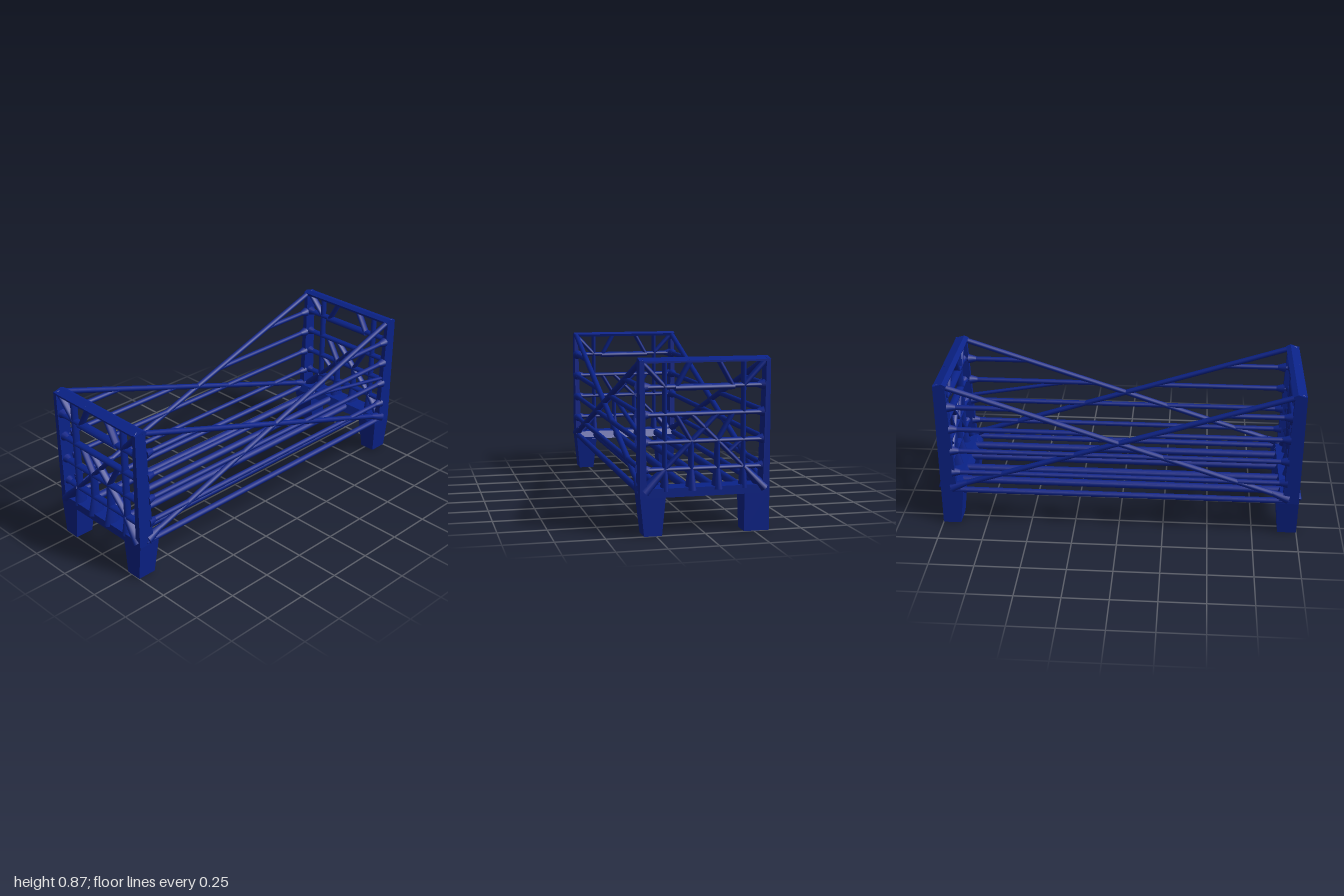
import * as THREE from 'three';

const paint = new THREE.MeshStandardMaterial({ color: 0x0a2288 });
const UP = new THREE.Vector3(0, 1, 0);

// Round bar between two points; flat > 1 deepens it along x
function bar(group, name, a, b, r = 0.016, rEnd = r, flat = 1) {
  const p = new THREE.Vector3(...a), q = new THREE.Vector3(...b);
  const d = q.clone().sub(p);
  const mesh = new THREE.Mesh(new THREE.CylinderGeometry(rEnd, r, d.length(), 10), paint);
  mesh.quaternion.setFromUnitVectors(UP, d.normalize());
  mesh.position.copy(p).add(q).multiplyScalar(0.5);
  mesh.scale.x = flat;
  mesh.name = name;
  group.add(mesh);
}

// Solid whose bottom and top rectangles [x0, x1, z0, z1] differ
function frustum(group, name, y0, y1, low, high) {
  const geo = new THREE.BoxGeometry(1, 1, 1);
  const p = geo.attributes.position;
  for (let i = 0; i < p.count; i++) {
    const top = p.getY(i) > 0, s = top ? high : low;
    p.setXYZ(i, s[p.getX(i) > 0 ? 1 : 0], top ? y1 : y0, s[p.getZ(i) > 0 ? 3 : 2]);
  }
  geo.computeVertexNormals();
  const mesh = new THREE.Mesh(geo, paint);
  mesh.name = name;
  group.add(mesh);
}

const order = (s, a, b) => (s > 0 ? [a, b] : [-b, -a]);
const LEVELS = [0.325, 0.46, 0.595, 0.73];

// Corner leg and post
function corner(group, sx, sz) {
  const rect = (x0, x1, z0, z1) => [...order(sx, x0, x1), ...order(sz, z0, z1)];
  const straight = sx > 0 && sz < 0;
  frustum(group, 'leg', 0, 0.2,
    straight ? rect(0.9, 1, 0.2, 0.33) : rect(0.895, 1, 0.22, 0.31),
    rect(0.875, 1, 0.2, 0.33));
  frustum(group, 'legCap', 0.2, 0.235, rect(0.875, 1, 0.2, 0.33), rect(0.9, 1, 0.25, 0.33));
  frustum(group, 'post', 0.2, 0.86, rect(0.91, 1, 0.295, 0.33), rect(0.935, 1, 0.308, 0.33));
  // Flares where rails meet the post
  for (const y of LEVELS) {
    bar(group, 'railFlare', [sx * 0.93, y, sz * 0.315], [sx * 0.885, y, sz * 0.315], 0.028, 0.015);
    bar(group, 'endFlare', [sx * 0.968, y, sz * 0.315], [sx * 0.968, y, sz * 0.27], 0.03, 0.014, 1.1);
  }
}

// Trussed end panel
function endPanel(s) {
  const g = new THREE.Group();
  g.name = s > 0 ? 'leftEnd' : 'rightEnd';
  const X = s * 0.968;
  const strut = (name, z0, y0, z1, y1, r = 0.013, r2 = r) =>
    bar(g, name, [X, y0, z0], [X, y1, z1], r, r2, 1.8);

  // Peaked top beam
  const profile = new THREE.Shape([[1, 0.848], [1, 0.857], [0.95, 0.872], [0.925, 0.86], [0.93, 0.846]]
    .map(([x, y]) => new THREE.Vector2(s * x, y)));
  const geo = new THREE.ExtrudeGeometry(profile, { depth: 0.66, bevelEnabled: false });
  geo.translate(0, 0, -0.33);
  const top = new THREE.Mesh(geo, paint);
  top.name = 'topBeam';
  g.add(top);

  // Bottom beam and cross rails
  frustum(g, 'bottomBeam', 0.19, 0.235, [...order(s, 0.875, 1), -0.3, 0.3], [...order(s, 0.9, 1), -0.3, 0.3]);
  for (const y of LEVELS) strut('crossRail', -0.32, y, 0.32, y, 0.0125);
  strut('upperRail', -0.15, 0.725, 0.15, 0.725, 0.016);

  for (const m of [-1, 1]) {
    corner(g, s, m);
    // Uprights
    strut('upright', m * 0.2, 0.22, m * 0.2, 0.86, 0.012);
    strut('innerUpright', m * 0.067, 0.22, m * 0.067, 0.46, 0.015, 0.013);
    strut('uprightFoot', m * 0.067, 0.22, m * 0.067, 0.33, 0.028, 0.013);
    strut('uprightFoot', m * 0.2, 0.22, m * 0.2, 0.33, 0.022, 0.013);
    // Diagonals
    strut('cornerBrace', m * 0.305, 0.215, m * 0.2, 0.325, 0.028, 0.015);
    strut('longBrace', m * 0.2, 0.325, m * -0.067, 0.592, 0.012);
    strut('middleBrace', m * 0.067, 0.46, m * 0.145, 0.592, 0.012);
    strut('topCornerBrace', m * 0.2, 0.73, m * 0.32, 0.858, 0.013);
    strut('topBrace', m * 0.145, 0.725, m * 0.07, 0.858, 0.013);
  }
  if (s > 0) strut('shortBrace', -0.13, 0.405, -0.2, 0.465, 0.01);
  return g;
}

// Long side with rails and crossing braces
function longSide(m) {
  const g = new THREE.Group();
  g.name = m > 0 ? 'frontSide' : 'backSide';
  const z = m * 0.315;
  bar(g, 'bottomRail', [-0.95, 0.212, z], [0.95, 0.212, z], 0.017);
  for (const y of [0.325, 0.46]) bar(g, 'rail', [-0.96, y, z], [0.96, y, z], 0.0145);
  for (const s of [-1, 1]) {
    bar(g, 'crossBrace', [-s * 0.95, 0.225, z], [s * 0.95, 0.853, z], 0.0155);
    // Upper rails stop at the braces
    for (const y of [0.595, 0.73]) {
      const end = (y - 0.539) / 0.3305;
      bar(g, 'shortRail', [s * end, y, z], [s * 0.96, y, z], 0.0145);
    }
    bar(g, 'braceFoot', [s * 0.94, 0.225, z], [s * 0.85, 0.26, z], 0.03, 0.015);
  }
  if (m > 0) bar(g, 'slantRail', [0.37, 0.59, z], [0.96, 0.487, z], 0.011);
  return g;
}

export function createModel() {
  const model = new THREE.Group();
  model.name = 'trussFrame';
  for (const s of [-1, 1]) model.add(endPanel(s), longSide(s));
  // Floor slats
  for (const z of [-0.2, -0.067, 0.067, 0.2])
    bar(model, 'floorSlat', [-0.92, 0.212, z], [0.92, 0.212, z], 0.022);
  return model;
}
